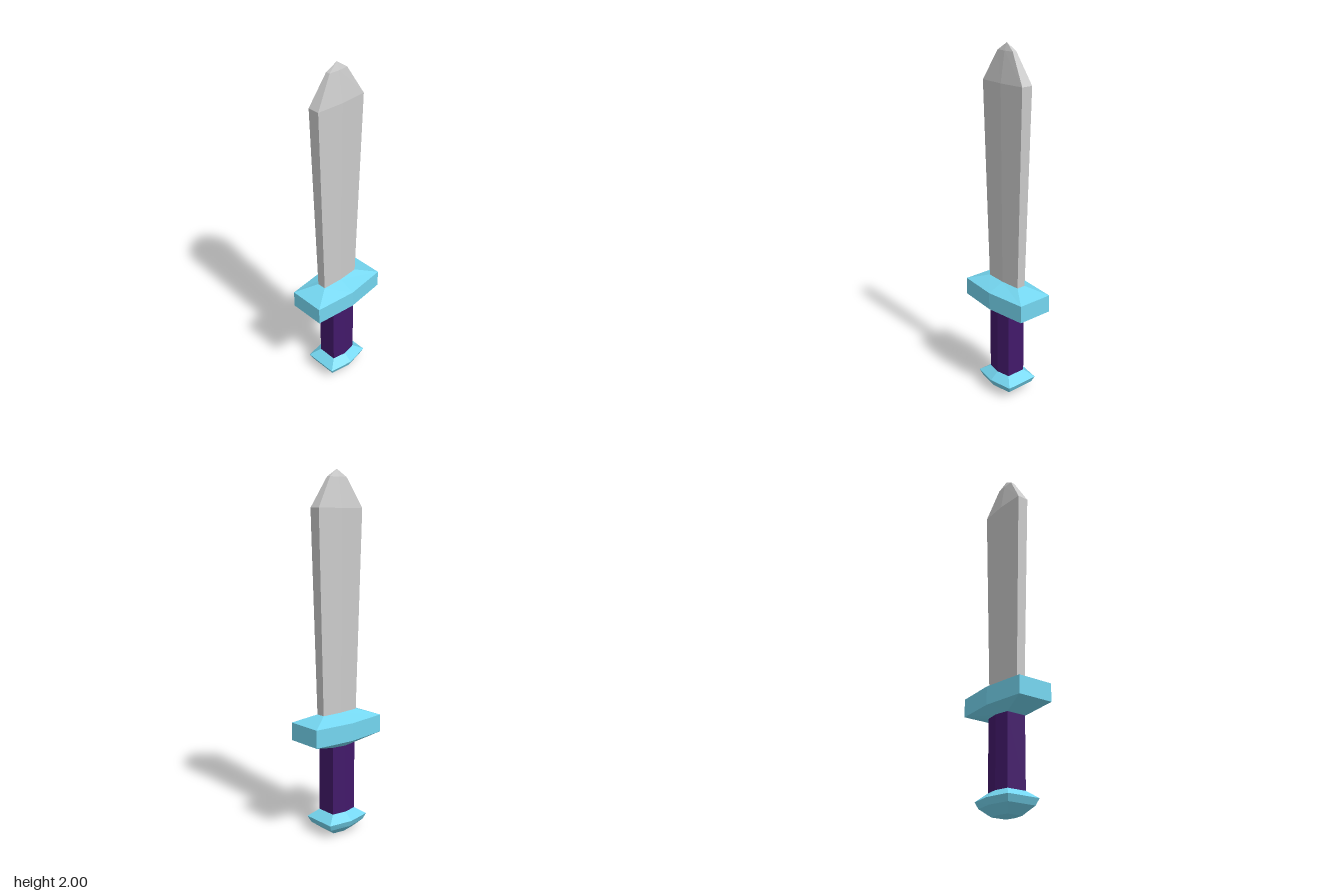
import * as THREE from 'three';

// Lofts six-sided rings, listed bottom to top as
// [y, half width, half depth at the middle ridge, half depth at the sides]
function hexLoft(name, color, rings) {
  const points = rings.map(([y, w, d, e]) => [
    [w, y, e], [0, y, d], [-w, y, e], [-w, y, -e], [0, y, -d], [w, y, -e],
  ]);
  const positions = [];
  const tri = (a, b, c) => positions.push(...a, ...b, ...c);

  // Walls between neighbouring rings
  for (let r = 0; r < points.length - 1; r++) {
    const low = points[r], high = points[r + 1];
    const pointed = rings[r + 1][1] === 0;
    for (let i = 0; i < 6; i++) {
      const j = (i + 1) % 6;
      tri(low[i], high[j], low[j]);
      if (!pointed) tri(low[i], high[i], high[j]);
    }
  }

  // End caps; a ring of zero width is a point and needs none
  const bottom = points[0], top = points[points.length - 1];
  for (let i = 1; i < 5; i++) {
    tri(bottom[0], bottom[i], bottom[i + 1]);
    if (rings[rings.length - 1][1] > 0) tri(top[0], top[i + 1], top[i]);
  }

  const geometry = new THREE.BufferGeometry();
  geometry.setAttribute('position', new THREE.Float32BufferAttribute(positions, 3));
  geometry.computeVertexNormals();
  const mesh = new THREE.Mesh(geometry, new THREE.MeshStandardMaterial({ color, flatShading: true }));
  mesh.name = name;
  return mesh;
}

export function createModel() {
  const group = new THREE.Group();
  group.name = 'sword';
  const blue = 0x74d6f0, purple = 0x42196a, grey = 0xcccccc;

  group.add(
    // Flared pommel
    hexLoft('pommel', blue, [
      [0, 0.065, 0.058, 0.046],
      [0.045, 0.121, 0.108, 0.085],
      [0.08, 0.137, 0.122, 0.098],
      [0.12, 0.081, 0.072, 0.057],
    ]),
    // Straight grip
    hexLoft('grip', purple, [
      [0.12, 0.081, 0.072, 0.057],
      [0.51, 0.081, 0.072, 0.057],
    ]),
    // Wide crossguard with bevelled top and underside
    hexLoft('crossguard', blue, [
      [0.51, 0.081, 0.072, 0.057],
      [0.55, 0.237, 0.13, 0.104],
      [0.65, 0.237, 0.13, 0.104],
      [0.69, 0.12, 0.033, 0.026],
    ]),
    // Blade widening upward, then closing to a point
    hexLoft('blade', grey, [
      [0.69, 0.12, 0.033, 0.026],
      [1.8, 0.154, 0.042, 0.033],
      [1.96, 0.058, 0.016, 0.012],
      [2, 0, 0, 0],
    ]),
  );
  return group;
}
